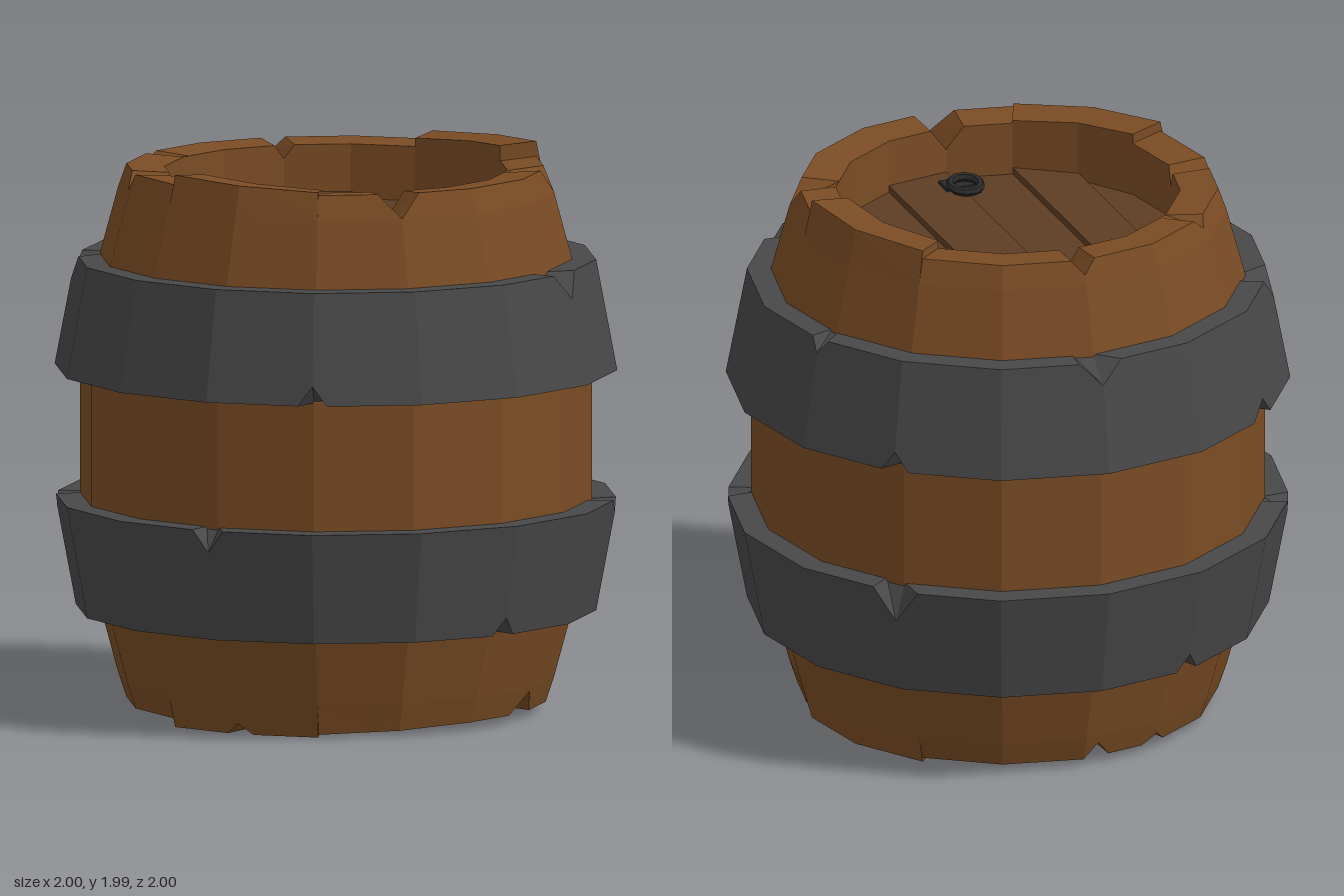
import * as THREE from 'three';

const SIDES = 16, STEP = 360 / SIDES, RAD = Math.PI / 180;
const mat = (color) => new THREE.MeshStandardMaterial({ color, flatShading: true });
const wood = mat(0x7a4c24), lidWood = mat(0x5e3d23), iron = mat(0x484848), darkIron = mat(0x2a2a2c);

// Radius factor that keeps any angle on the flat sides of the polygon
function flatFactor(deg) {
  const local = ((deg % STEP) + STEP) % STEP - STEP / 2;
  return Math.cos(STEP / 2 * RAD) / Math.cos(local * RAD);
}

const angleGap = (a, b) => Math.abs(((a - b + 540) % 360) - 180);

// Swept ring. Profile runs: outer bottom ... outer top, inner top, inner bottom.
// cuts: [angle, half width, depth, atTop, through]; lifts: [from, to, startHeight, endHeight, atTop]
function ringGeometry(profile, cuts, lifts = []) {
  const n = profile.length;
  const angles = [];
  for (let i = 0; i < SIDES; i++) angles.push(i * STEP);
  for (const [a, w] of cuts) angles.push(a - w, a, a + w);
  for (const [from, to] of lifts) angles.push(from - 0.05, from + 0.05, to - 0.05, to + 0.05);
  const sorted = [...new Set(angles.map((a) => (a + 360) % 360))].sort((a, b) => a - b);

  const section = (deg) => {
    const pts = profile.map((p) => [...p]);
    for (const [from, to, h0, h1, top] of lifts) {
      const t = (deg - from) / (to - from);
      if (t < 0 || t > 1) continue;
      const h = h0 + (h1 - h0) * t;
      for (const i of top ? [n - 3, n - 2] : [0, n - 1]) pts[i][1] += top ? h : -h;
    }
    for (const [a, w, depth, top, through] of cuts) {
      const dip = depth * Math.max(0, 1 - angleGap(deg, a) / w);
      if (dip < 1e-6) continue;
      const rim = top ? n - 3 : 0, next = top ? n - 4 : 1, inner = top ? n - 2 : n - 1;
      const k = Math.min(1, dip / Math.abs(pts[rim][1] - pts[next][1]));
      for (const c of [0, 1]) pts[rim][c] += (pts[next][c] - pts[rim][c]) * k;
      if (through) pts[inner][1] += top ? -dip : dip;
    }
    const f = flatFactor(deg);
    return pts.map(([r, y]) => [r * f * Math.cos(deg * RAD), y, r * f * Math.sin(deg * RAD)]);
  };

  const rows = sorted.map(section), pos = [];
  rows.forEach((row, s) => {
    const after = rows[(s + 1) % rows.length];
    for (let j = 0; j < n; j++) {
      const k = (j + 1) % n;
      pos.push(...row[j], ...row[k], ...after[k], ...row[j], ...after[k], ...after[j]);
    }
  });
  const geo = new THREE.BufferGeometry();
  geo.setAttribute('position', new THREE.Float32BufferAttribute(pos, 3));
  geo.computeVertexNormals();
  return geo;
}

function add(parent, name, geo, material) {
  const mesh = new THREE.Mesh(geo, material);
  mesh.name = name;
  parent.add(mesh);
  return mesh;
}

// Round lid of planks running front to back, alternating in height
function makeLid(name, y, dir) {
  const lid = new THREE.Group();
  lid.name = name;
  const R = 0.615;
  const corner = (k, s) => new THREE.Vector2(R * Math.cos(k * STEP * RAD), s * R * Math.sin(k * STEP * RAD));
  const planks = [[8, 7, 6], [6, 5], [5, 4], [4, 3], [3, 2], [2, 1, 0]];
  planks.forEach((ks, i) => {
    const outline = [...ks.map((k) => corner(k, 1)), ...[...ks].reverse().map((k) => corner(k, -1))];
    const geo = new THREE.ExtrudeGeometry(new THREE.Shape(outline), { depth: 0.06, bevelEnabled: false });
    geo.rotateX(-Math.PI / 2);
    const face = y + dir * (i % 2 ? 0.025 : 0);
    add(lid, 'plank', geo, lidWood).position.y = dir > 0 ? face - 0.06 : face;
  });
  return lid;
}

export function createModel() {
  const barrel = new THREE.Group();
  barrel.name = 'barrel';

  // Wooden body with worn rims
  const body = [[0.745, 0.035], [0.775, 0.125], [0.84, 0.365], [0.91, 0.765], [0.91, 1.225],
    [0.84, 1.62], [0.775, 1.86], [0.745, 1.945], [0.61, 1.935], [0.61, 0.045]];
  const bodyCuts = [
    [90, 6, 0.085, true, true], [184, 4, 0.06, true, true], [270, 3.5, 0.05, true, true],
    [22.5, 5, 0.08, true, false], [225, 3, 0.035, true, false],
    [45, 6, 0.08, false, false], [135, 4, 0.04, false, false],
    [266, 4, 0.06, false, false], [247, 4, 0.04, false, true], [4, 4, 0.04, false, true],
  ];
  const bodyLifts = [
    [315, 359.9, 0.03, 0.055, true], [112.5, 157.5, 0.01, 0.035, true],
    [315, 359.9, 0.015, 0.015, false], [112.5, 157.5, 0.03, 0.03, false], [67.5, 112.4, 0, 0.02, false],
  ];
  add(barrel, 'body', ringGeometry(body, bodyCuts, bodyLifts), wood);

  // Iron hoops with chipped edges
  const upper = [[1, 1.225], [0.925, 1.62], [0.83, 1.62], [0.9, 1.225]];
  const lower = [[0.925, 0.365], [1, 0.765], [0.9, 0.765], [0.83, 0.365]];
  add(barrel, 'upperHoop', ringGeometry(upper, [
    [45, 5, 0.09, true], [202.5, 5, 0.09, true], [270, 5, 0.08, true], [337.5, 2.5, 0.05, true],
    [112.5, 3, 0.07, false], [225, 4, 0.07, false], [315, 3, 0.07, false],
  ]), iron);
  add(barrel, 'lowerHoop', ringGeometry(lower, [
    [135, 3.5, 0.08, true], [22.5, 2.5, 0.05, true], [315, 5, 0.12, true], [202.5, 2.5, 0.05, true],
    [67.5, 3, 0.065, false], [247.5, 3, 0.065, false],
  ]), iron);

  // Sunken lids
  barrel.add(makeLid('topLid', 1.74, 1), makeLid('bottomLid', 0.23, -1));

  // Pull ring on the top lid
  const handle = new THREE.Group();
  handle.name = 'pullRing';
  add(handle, 'plate', new THREE.BoxGeometry(0.13, 0.035, 0.08), darkIron).position.set(0, 1.76, 0.475);
  const loop = add(handle, 'ring', new THREE.TorusGeometry(0.055, 0.016, 6, 10), darkIron);
  loop.rotation.x = Math.PI / 2 - 0.15;
  loop.position.set(0, 1.79, 0.42);
  barrel.add(handle);

  return barrel;
}
